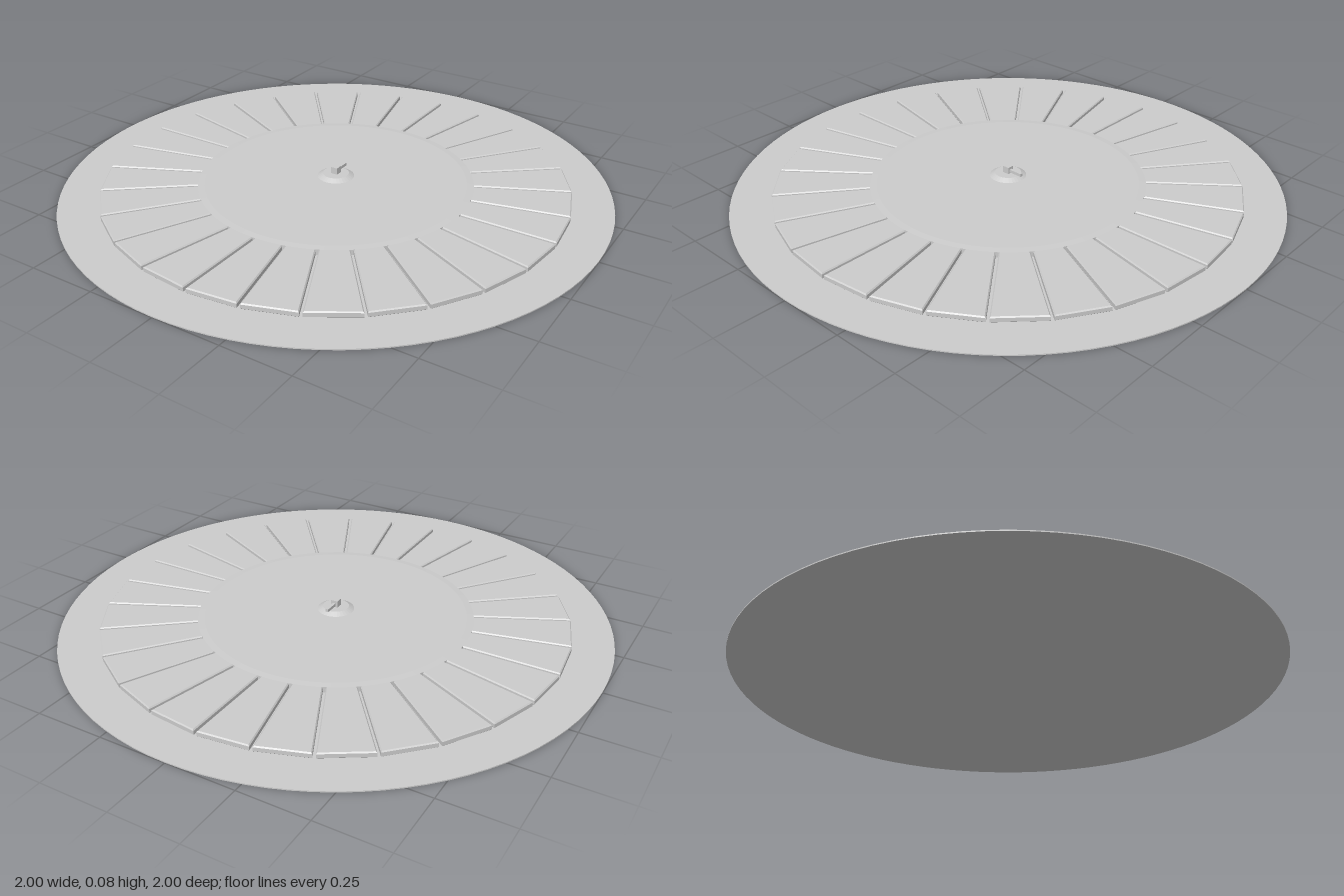
import * as THREE from 'three';

const material = new THREE.MeshStandardMaterial({ color: 0xcccccc, flatShading: true });

function add(parent, name, geometry) {
  const mesh = new THREE.Mesh(geometry, material);
  mesh.name = name;
  parent.add(mesh);
  return mesh;
}

const lathe = (points, sides) =>
  new THREE.LatheGeometry(points.map(([r, y]) => new THREE.Vector2(r, y)), sides);

// One wedge-shaped pad pointing along +x, with a bevelled edge
function padGeometry(half) {
  const bevel = 0.004, gap = 0.009;
  const inner = 0.485, outer = 0.855 * Math.cos(half) - bevel;
  const width = x => x * Math.tan(half) - gap / Math.cos(half);
  const shape = new THREE.Shape([
    new THREE.Vector2(inner, -width(inner)),
    new THREE.Vector2(outer, -width(outer)),
    new THREE.Vector2(outer, width(outer)),
    new THREE.Vector2(inner, width(inner)),
  ]);
  const geometry = new THREE.ExtrudeGeometry(shape, {
    depth: 0.014, bevelEnabled: true, bevelThickness: 0.004, bevelSize: bevel, bevelSegments: 1,
  });
  return geometry.rotateX(-Math.PI / 2).translate(0, 0.006, 0);
}

export function createModel() {
  const model = new THREE.Group();
  model.name = 'turntable';

  // Thin ground disc
  add(model, 'baseDisc', new THREE.CylinderGeometry(1, 1, 0.004, 96)).position.y = 0.002;

  // Ring of wedge pads separated by narrow grooves
  const count = 28, step = (Math.PI * 2) / count;
  const ring = new THREE.Group();
  ring.name = 'padRing';
  model.add(ring);
  const pad = padGeometry(step / 2);
  for (let i = 0; i < count; i++) add(ring, 'pad', pad).rotation.y = (i + 0.5) * step;

  // Central platform with a shallow sloped rim
  add(model, 'centrePlatform', lathe(
    [[0, 0.003], [0.505, 0.003], [0.505, 0.024], [0.48, 0.026], [0, 0.026]], 64));

  // Hub: stem, flared cap, square post and pointer towards the back
  const hub = new THREE.Group();
  hub.name = 'hub';
  model.add(hub);
  add(hub, 'stem', new THREE.CylinderGeometry(0.024, 0.024, 0.018, 24)).position.y = 0.033;
  add(hub, 'cap', lathe([[0, 0.039], [0.067, 0.039], [0.048, 0.05], [0, 0.05]], 32));
  add(hub, 'post', new THREE.BoxGeometry(0.026, 0.026, 0.026)).position.y = 0.062;
  add(hub, 'pointer', new THREE.BoxGeometry(0.011, 0.011, 0.066)).position.set(0, 0.06, -0.033);

  return model;
}
